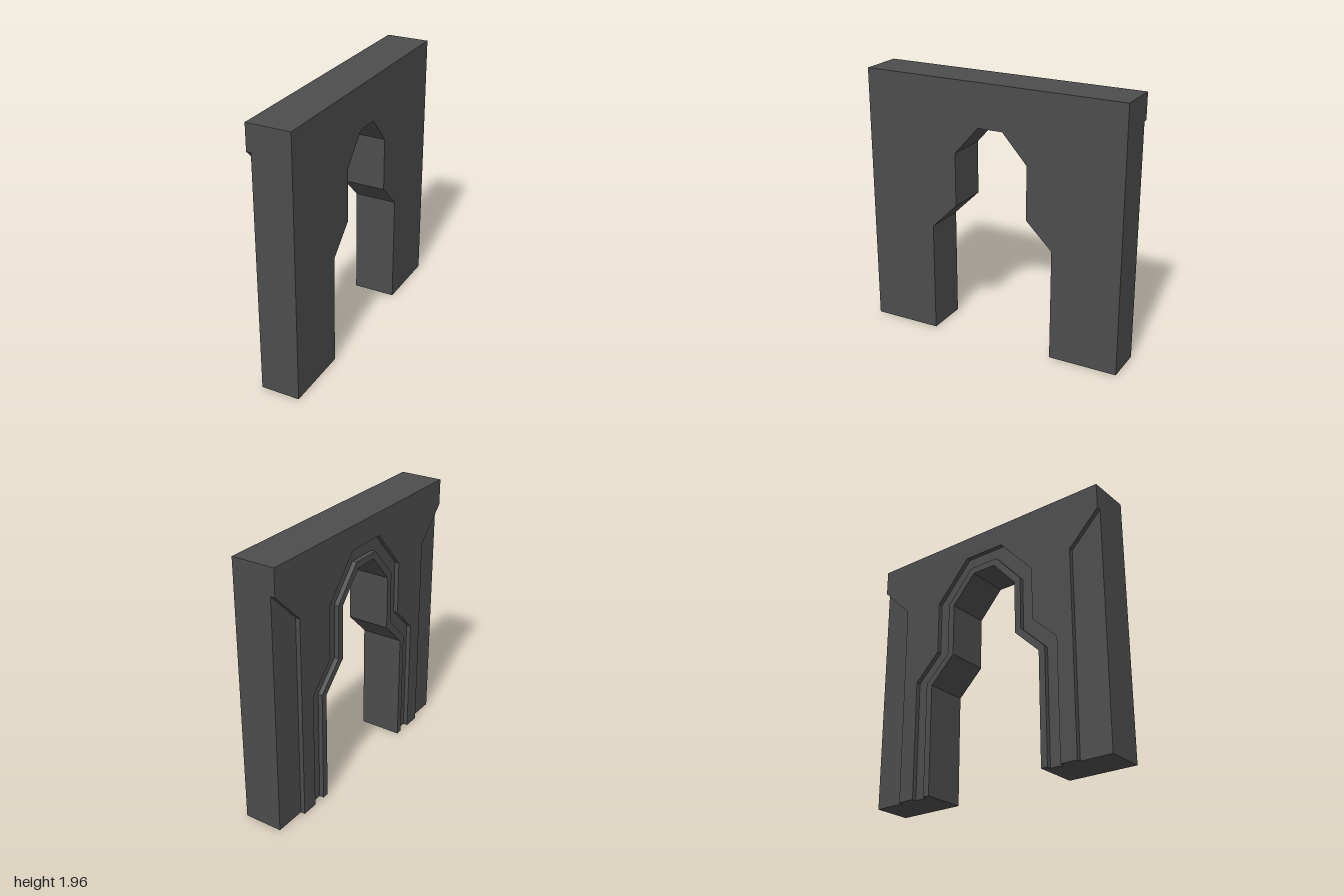
import * as THREE from 'three';

const HEIGHT = 1.963, HALF_DEPTH = 0.162, RECESS_X = -0.128;

// Half outline of the stepped opening, grown outward by d, from floor to crown.
const opening = (d) => [
  [0.482 + d, 0],
  [0.482 + d, 0.835 + 0.41 * d],
  [0.283 + d, 1.03 + 0.41 * d],
  [0.283 + d, 1.43 + 0.4 * d],
  [0.095 + 0.45 * d, 1.64 + d],
];

// Mirrored band between an outer and an inner half outline, both floor to crown.
function archShape(outer, inner) {
  const mirror = (pts) => pts.map(([z, y]) => [-z, y]);
  const loop = [
    ...outer, ...mirror(outer).reverse(),
    ...mirror(inner), ...[...inner].reverse(),
  ];
  return new THREE.Shape(loop.map(([z, y]) => new THREE.Vector2(z, y)));
}

// Extrudes an arch band through the wall thickness, from x0 to x1.
function slab(name, outer, inner, x0, x1, material) {
  const geometry = new THREE.ExtrudeGeometry(archShape(outer, inner), {
    depth: x1 - x0, bevelEnabled: false,
  });
  geometry.rotateY(Math.PI / 2);
  geometry.translate(x0, 0, 0);
  const mesh = new THREE.Mesh(geometry, material);
  mesh.name = name;
  return mesh;
}

export function createModel() {
  const group = new THREE.Group();
  group.name = 'archway';
  const stone = new THREE.MeshStandardMaterial({ color: 0x4c4c4c });
  stone.name = 'dark stone';

  // Main wall with the stepped opening
  group.add(slab('wall', [[1, 0], [1, HEIGHT]], opening(0),
    RECESS_X, HALF_DEPTH, stone));

  // Raised facing: full width at the top, narrowing to a strip on each pier
  group.add(slab('raisedFacing',
    [[0.76, 0], [0.76, 1.53], [1, 1.77], [1, HEIGHT]], opening(0.15),
    -HALF_DEPTH, RECESS_X, stone));

  // Thin lip around the opening, set apart from the facing by a groove
  group.add(slab('openingLip', opening(0.05), opening(0),
    -HALF_DEPTH, RECESS_X, stone));

  return group;
}
